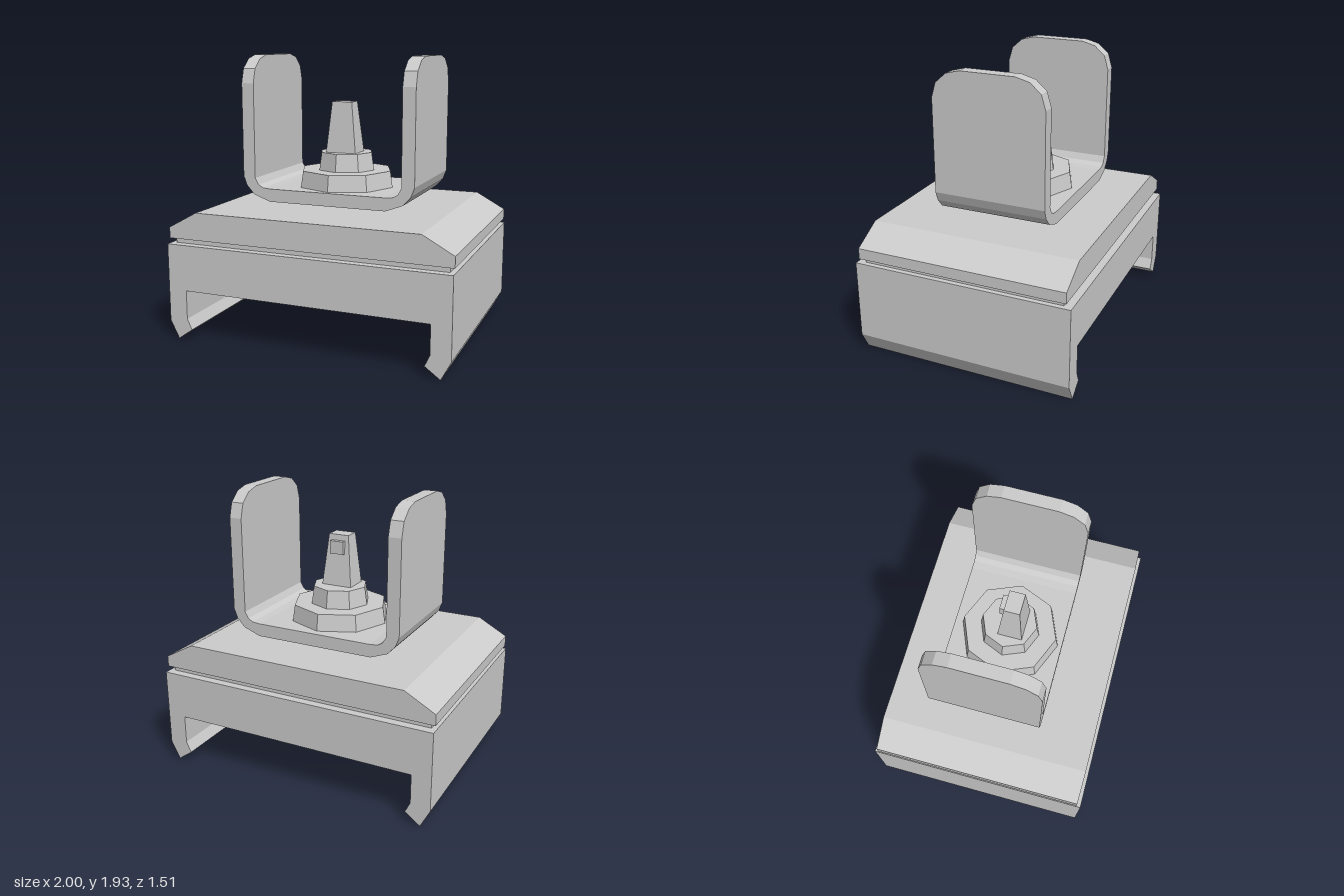
import * as THREE from 'three';

const material = new THREE.MeshStandardMaterial({ color: 0xcccccc, flatShading: true });

function add(group, name, geometry, x = 0, y = 0, z = 0) {
  const mesh = new THREE.Mesh(geometry, material);
  mesh.name = name;
  mesh.position.set(x, y, z);
  group.add(mesh);
  return mesh;
}

// Right half of a front profile, mirrored in x and extruded evenly about z = 0
function mirroredExtrude(half, depth) {
  const points = [...half, ...half.map(([x, y]) => [-x, y]).reverse()];
  const shape = new THREE.Shape(points.map(([x, y]) => new THREE.Vector2(x, y)));
  return new THREE.ExtrudeGeometry(shape, { depth, bevelEnabled: false }).translate(0, 0, -depth / 2);
}

// U-shaped strap: rectangular sections swept from one tip to the other
function strapGeometry() {
  // outer x, outer y, inner x, inner y, half width in z
  const half = [
    [0.425, 0.93, 0.42, 1.02, 0.39],
    [0.545, 0.975, 0.475, 1.025, 0.39],
    [0.6, 1.035, 0.51, 1.045, 0.39],
    [0.625, 1.1, 0.535, 1.09, 0.39],
    [0.625, 1.745, 0.535, 1.745, 0.39],
    [0.625, 1.845, 0.535, 1.845, 0.36],
    [0.625, 1.91, 0.535, 1.91, 0.285],
    [0.625, 1.935, 0.535, 1.935, 0.19],
  ];
  const left = half.map(([ox, oy, ix, iy, w]) => [-ox, oy, -ix, iy, w]).reverse();
  const sections = [...left, ...half];
  const positions = [];
  const index = [];
  const quad = (a, b, c, d) => index.push(a, b, c, a, c, d);
  sections.forEach(([ox, oy, ix, iy, w], i) => {
    positions.push(ox, oy, w, ix, iy, w, ix, iy, -w, ox, oy, -w);
    if (i === 0) return;
    const p = (i - 1) * 4;
    const q = i * 4;
    for (let k = 0; k < 4; k++) {
      const n = (k + 1) % 4;
      quad(p + k, q + k, q + n, p + n);
    }
  });
  const e = (sections.length - 1) * 4;
  quad(0, 1, 2, 3);
  quad(e + 3, e + 2, e + 1, e);
  const indexed = new THREE.BufferGeometry();
  indexed.setAttribute('position', new THREE.Float32BufferAttribute(positions, 3));
  indexed.setIndex(index);
  const geometry = indexed.toNonIndexed();
  geometry.computeVertexNormals();
  return geometry;
}

// Four-sided post that narrows towards a slightly offset top
function postGeometry() {
  const geometry = new THREE.BoxGeometry(0.22, 0.355, 0.17);
  const pos = geometry.attributes.position;
  for (let i = 0; i < pos.count; i++) {
    if (pos.getY(i) > 0) {
      pos.setX(i, Math.sign(pos.getX(i)) * 0.073);
      pos.setZ(i, pos.getZ(i) > 0 ? 0.06 : -0.047);
    }
  }
  geometry.computeVertexNormals();
  return geometry;
}

export function createModel() {
  const model = new THREE.Group();
  model.name = 'clipMount';

  // Base with a hooked clip rail along each side
  add(model, 'clipBase', mirroredExtrude([
    [0.865, 0.35], [0.865, 0.15], [0.83, 0.075], [0.935, 0], [1, 0.125], [1, 0.67],
  ], 1.515));

  // Recessed seam and sloped lid
  add(model, 'seam', new THREE.BoxGeometry(1.93, 0.04, 1.4), 0, 0.6875, 0);
  add(model, 'lid', mirroredExtrude([
    [1, 0.705], [1, 0.78], [0.79, 0.895],
  ], 1.455));

  // Bracket raised on a small spacer
  add(model, 'spacer', new THREE.BoxGeometry(0.58, 0.04, 0.38), 0, 0.912, -0.04);
  add(model, 'bracket', strapGeometry(), 0, 0, -0.04);

  // Stepped octagonal collars
  add(model, 'lowerCollar', new THREE.CylinderGeometry(0.33, 0.348, 0.117, 8), 0, 1.0765, -0.027);
  add(model, 'upperCollar', new THREE.CylinderGeometry(0.19, 0.208, 0.125, 8), 0, 1.1975, -0.027);

  // Tapered post with a small tab on its rear face
  add(model, 'post', postGeometry(), 0, 1.4375, 0);
  add(model, 'postTab', new THREE.BoxGeometry(0.1, 0.09, 0.045), 0, 1.53, -0.06);

  return model;
}
